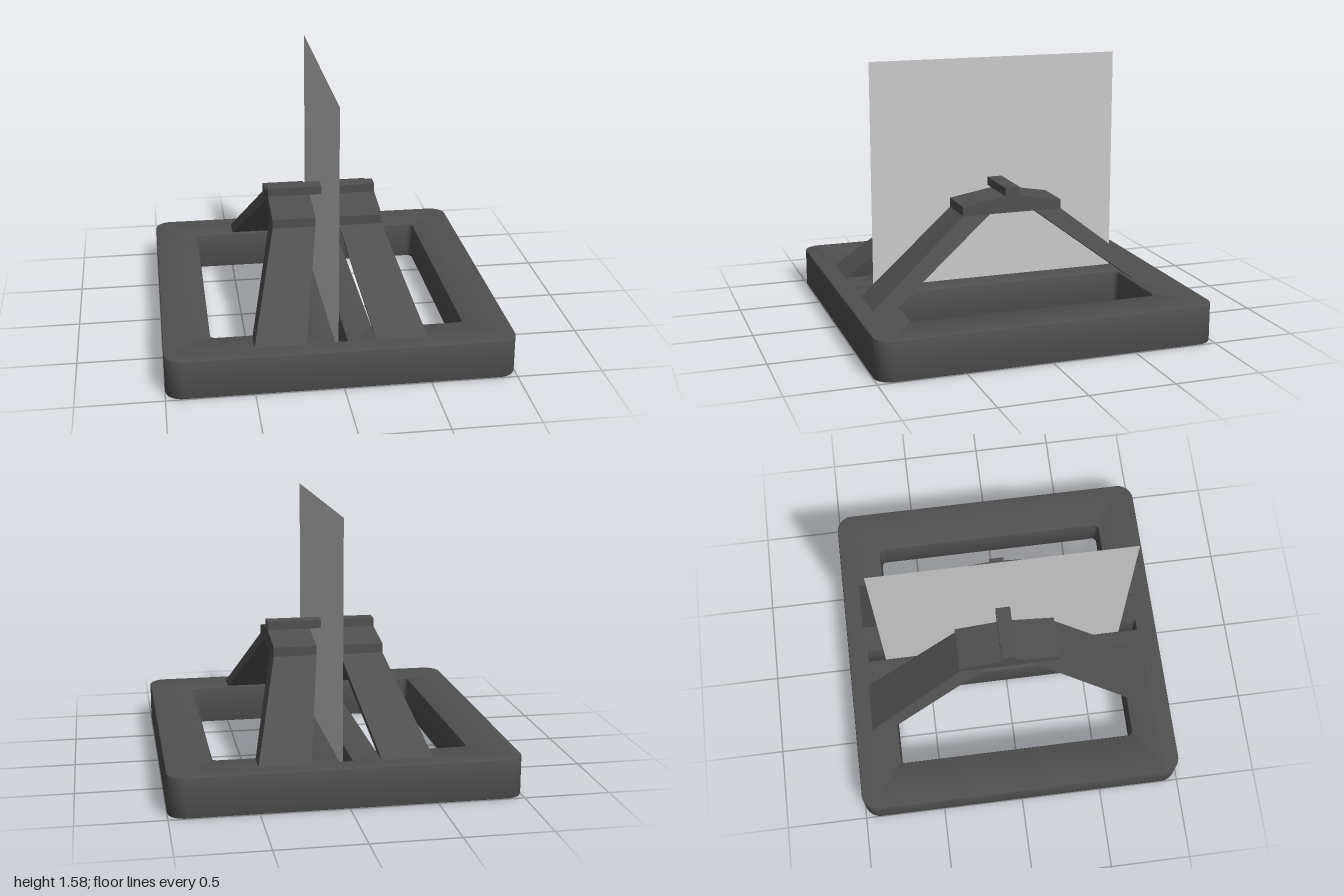
import * as THREE from 'three';
import { toCreasedNormals } from 'three/addons/utils/BufferGeometryUtils.js';

const dark = new THREE.MeshStandardMaterial({ color: 0x505050 });
const pale = new THREE.MeshStandardMaterial({ color: 0xcccccc, side: THREE.DoubleSide });

// Rounded rectangle traced on a Shape or Path
function roundedRect(path, x0, y0, x1, y1, r) {
  path.moveTo(x0 + r, y0);
  path.lineTo(x1 - r, y0);
  if (r) path.absarc(x1 - r, y0 + r, r, -Math.PI / 2, 0);
  path.lineTo(x1, y1 - r);
  if (r) path.absarc(x1 - r, y1 - r, r, 0, Math.PI / 2);
  path.lineTo(x0 + r, y1);
  if (r) path.absarc(x0 + r, y1 - r, r, Math.PI / 2, Math.PI);
  path.lineTo(x0, y0 + r);
  if (r) path.absarc(x0 + r, y0 + r, r, Math.PI, Math.PI * 1.5);
  return path;
}

// Slanted bar: a box whose bottom and top rectangles are [x0, x1, z0, z1]
function slantedBar(bottom, top, y0, y1) {
  const geo = new THREE.BoxGeometry(1, 1, 1);
  const p = geo.attributes.position;
  for (let i = 0; i < p.count; i++) {
    const up = p.getY(i) > 0;
    const r = up ? top : bottom;
    p.setXYZ(i, p.getX(i) > 0 ? r[1] : r[0], up ? y1 : y0, p.getZ(i) > 0 ? r[3] : r[2]);
  }
  geo.computeVertexNormals();
  return geo;
}

const span = (s, a, b) => (s > 0 ? [a, b] : [-b, -a]);

export function createModel() {
  const model = new THREE.Group();
  const add = (name, geo, mat = dark) => {
    const mesh = new THREE.Mesh(geo, mat);
    mesh.name = name;
    model.add(mesh);
    return mesh;
  };

  // Base frame with two windows and a central slot
  const outline = roundedRect(new THREE.Shape(), -1, -1, 1, 1, 0.1);
  outline.holes.push(
    roundedRect(new THREE.Path(), -0.73, -0.735, -0.2, 0.735, 0.03),
    roundedRect(new THREE.Path(), 0.2, -0.735, 0.73, 0.735, 0.03),
    roundedRect(new THREE.Path(), -0.035, -0.875, 0.035, 0.875, 0),
  );
  const bevel = 0.008;
  const base = new THREE.ExtrudeGeometry(outline, {
    depth: 0.235 - 2 * bevel, bevelThickness: bevel, bevelSize: bevel,
    bevelOffset: -bevel, bevelSegments: 2, curveSegments: 8,
  });
  base.translate(0, 0, bevel);
  base.rotateX(-Math.PI / 2);
  add('base', toCreasedNormals(base, 0.5));

  // Gabled profile of the blocks joining front and back legs
  const gable = new THREE.Shape([
    [-0.305, 0.7], [0.305, 0.7], [0.305, 0.755], [0.045, 0.8], [-0.045, 0.8], [-0.305, 0.755],
  ].map(([z, y]) => new THREE.Vector2(z, y)));

  for (const sx of [1, -1]) {
    const side = sx > 0 ? 'left' : 'right';
    for (const sz of [1, -1]) {
      const leg = slantedBar(
        [...span(sx, 0.2, 0.495), ...span(sz, 0.765, 0.9)],
        [...span(sx, 0.07, 0.325), ...span(sz, 0.14, 0.305)], 0.23, 0.7);
      add(`${side}${sz > 0 ? 'Front' : 'Back'}Leg`, leg);
    }
    const block = new THREE.ExtrudeGeometry(gable, { depth: 0.255, bevelEnabled: false });
    block.rotateY(-Math.PI / 2);
    block.translate(sx > 0 ? 0.325 : -0.07, 0, 0);
    add(`${side}TopBlock`, block);
  }

  // Bar bridging the two sides
  add('crossbar', new THREE.BoxGeometry(0.65, 0.05, 0.09)).position.y = 0.825;

  // Thin upright sheet standing in the slot
  const sheet = add('sheet', new THREE.PlaneGeometry(1.54, 1.54), pale);
  sheet.rotation.y = Math.PI / 2;
  sheet.position.y = 0.81;

  return model;
}
